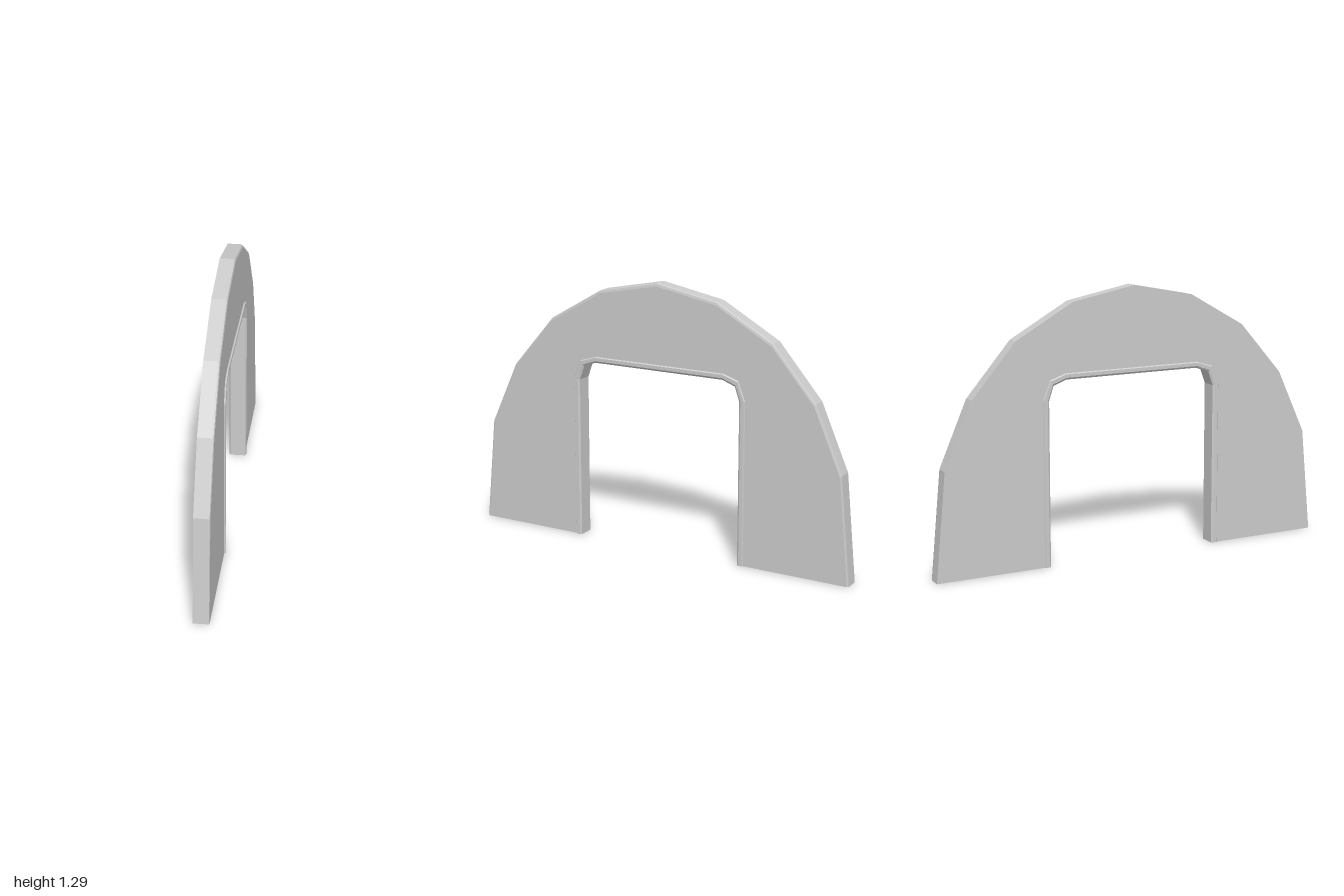
import * as THREE from 'three';

// Outlines as [z, y], running from the front foot over the top to the back foot
const OUTER = [[1, 0], [0.95, 0.51], [0.805, 0.82], [0.585, 1.07], [0.305, 1.23], [0, 1.29],
  [-0.315, 1.23], [-0.6, 1.07], [-0.815, 0.82], [-0.95, 0.51], [-1, 0]];
const OPENING = [[0.425, 0], [0.425, 0.785], [0.4, 0.853], [0.335, 0.877],
  [-0.35, 0.877], [-0.415, 0.853], [-0.438, 0.785], [-0.438, 0]];
const TRIM_EDGE = [[0.457, 0], [0.457, 0.79], [0.42, 0.88], [0.335, 0.906],
  [-0.355, 0.906], [-0.432, 0.88], [-0.468, 0.79], [-0.468, 0]];

const LEFT = 0.035, RIGHT = -0.038; // the two faces of the wall
const material = new THREE.MeshStandardMaterial({ color: 0xcccccc, flatShading: true, side: THREE.DoubleSide });

const blend = (a, b, t) => a.map(([z, y], i) => [z + (b[i][0] - z) * t, y + (b[i][1] - y) * t]);

function addMesh(group, name, geometry) {
  const mesh = new THREE.Mesh(geometry, material);
  mesh.name = name;
  group.add(mesh);
}

// Surface through a series of outlines, each at its own x
function loft(rows) {
  const positions = [], index = [];
  const n = rows[0].path.length;
  rows.forEach(({ x, path }) => path.forEach(([z, y]) => positions.push(x, y, z)));
  for (let r = 0; r < rows.length - 1; r++) {
    for (let i = 0; i < n - 1; i++) {
      const a = r * n + i, b = a + n;
      index.push(a, b, b + 1, a, b + 1, a + 1);
    }
  }
  const geometry = new THREE.BufferGeometry();
  geometry.setAttribute('position', new THREE.Float32BufferAttribute(positions, 3));
  geometry.setIndex(index);
  const flat = geometry.toNonIndexed();
  flat.computeVertexNormals();
  return flat;
}

// Flat arch-shaped face turned toward +x (side 1) or -x (side -1)
function wallFace(outline, x, side) {
  const points = [...outline, ...[...TRIM_EDGE].reverse()];
  const shape = new THREE.Shape(points.map(([z, y]) => new THREE.Vector2(-side * z, y)));
  return new THREE.ShapeGeometry(shape).rotateY(side * Math.PI / 2).translate(x, 0, 0);
}

export function createModel() {
  const group = new THREE.Group();
  group.name = 'archwayWall';

  // Wall faces; the left one is drawn in for the softened outer edge
  const inset = OUTER.map(([z, y]) => [z * 0.993, y * 0.988]);
  const nearInset = blend(OUTER, inset, 0.25);
  addMesh(group, 'leftFace', wallFace(inset, LEFT, 1));
  addMesh(group, 'rightFace', wallFace(OUTER, RIGHT, -1));

  // Faceted outer rim with its bevel, open at the feet
  addMesh(group, 'outerRim', loft([
    { x: RIGHT, path: OUTER },
    { x: LEFT - 0.01, path: OUTER },
    { x: LEFT - 0.003, path: nearInset },
    { x: LEFT, path: inset },
  ]));

  // Raised, rounded trim lining the doorway: left lip, reveal, right lip
  const trimAt = (x, t) => ({ x, path: blend(OPENING, TRIM_EDGE, t) });
  addMesh(group, 'doorwayTrim', loft([
    trimAt(LEFT, 1), trimAt(0.042, 0.85), trimAt(0.042, 0.3), trimAt(0.036, 0),
    trimAt(-0.038, 0), trimAt(-0.044, 0.3), trimAt(-0.044, 0.85), trimAt(RIGHT, 1),
  ]));
  return group;
}
